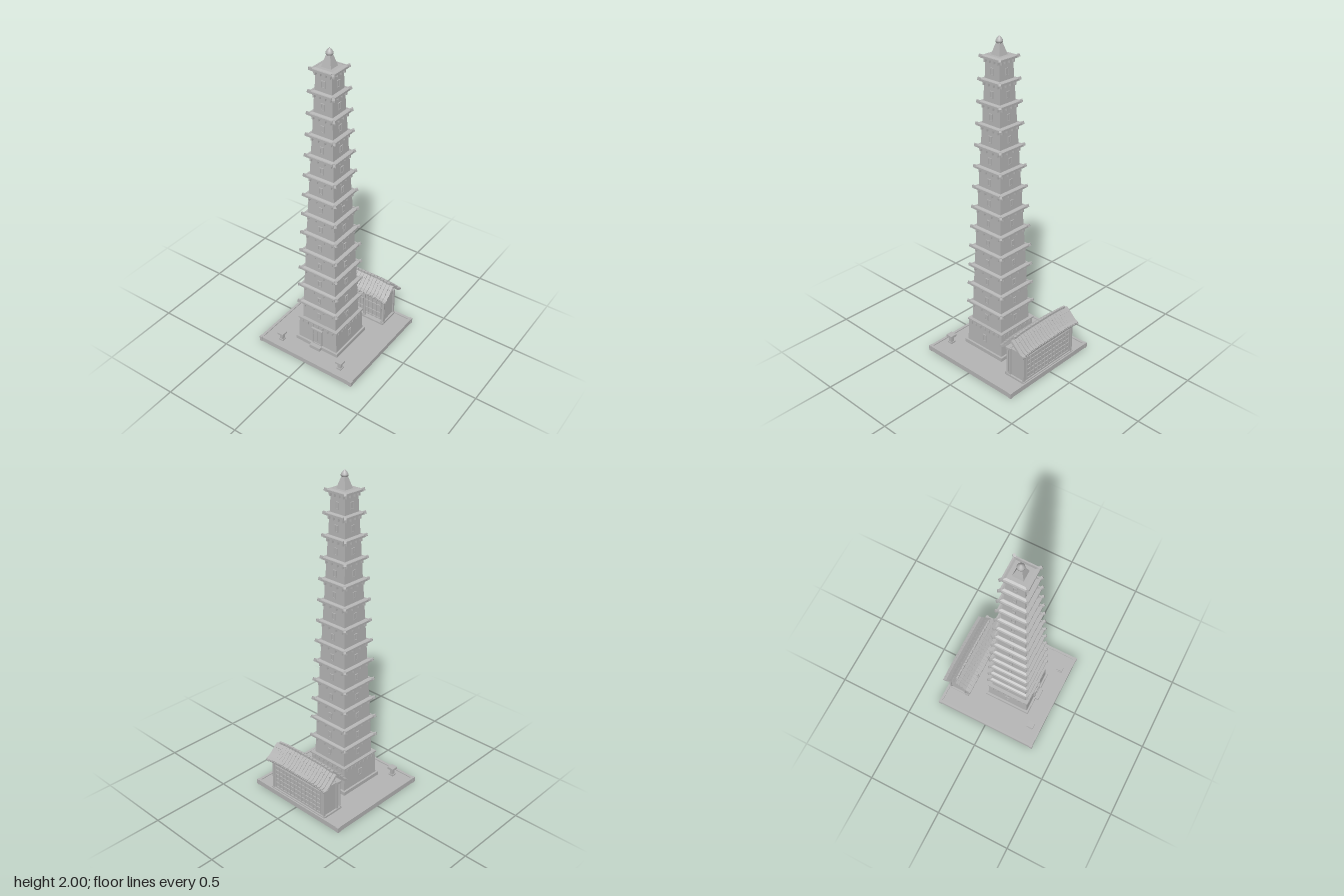
import * as THREE from 'three';

const stone = new THREE.MeshStandardMaterial({ color: 0xb4b4b4 });
stone.name = 'stone grey';

export function createModel() {
  const model = new THREE.Group();
  model.name = 'pagodaCourt';

  const add = (parent, name, geo, x = 0, y = 0, z = 0) => {
    const m = new THREE.Mesh(geo, stone);
    m.name = name;
    m.position.set(x, y, z);
    parent.add(m);
    return m;
  };
  // box given by its bottom height
  const box = (parent, name, w, h, d, x, y, z) =>
    add(parent, name, new THREE.BoxGeometry(w, h, d), x, y + h / 2, z);
  const group = (parent, name, x = 0, y = 0, z = 0) => {
    const g = new THREE.Group();
    g.name = name;
    g.position.set(x, y, z);
    parent.add(g);
    return g;
  };
  // square frustum from half-widths
  const frustum = (parent, name, bottom, top, h, y) => {
    const geo = new THREE.CylinderGeometry(top * Math.SQRT2, bottom * Math.SQRT2, h, 4).toNonIndexed();
    geo.rotateY(Math.PI / 4);
    geo.computeVertexNormals();
    return add(parent, name, geo, 0, y + h / 2, 0);
  };
  // rectangular frame with an opening, standing on y
  const frame = (parent, name, w, h, t, d, y, z) => {
    box(parent, name, t, h, d, -(w - t) / 2, y, z);
    box(parent, name, t, h, d, (w - t) / 2, y, z);
    box(parent, name, w - 2 * t, t, d, 0, y + h - t, z);
    box(parent, name, w - 2 * t, t, d, 0, y, z);
  };
  const fourSides = (parent, name, build) => {
    for (let i = 0; i < 4; i++) {
      const side = group(parent, name);
      side.rotation.y = i * Math.PI / 2;
      build(side, i);
    }
  };

  // courtyard slab with raised rim and corner blocks
  box(model, 'courtSlab', 0.69, 0.026, 0.69, 0, 0, 0);
  fourSides(model, 'courtRim', s => {
    box(s, 'rim', 0.66, 0.032, 0.016, 0, 0, 0.339);
    box(s, 'rimCorner', 0.02, 0.033, 0.02, 0.34, 0, 0.34);
  });

  // tower ground floor
  const tower = group(model, 'tower', 0, 0, 0.065);
  box(tower, 'plinth', 0.312, 0.024, 0.312, 0, 0.026, 0);
  frustum(tower, 'groundFloor', 0.143, 0.138, 0.15, 0.05);
  box(tower, 'groundCornice', 0.288, 0.01, 0.288, 0, 0.197, 0);
  fourSides(tower, 'groundSide', (s, i) => {
    for (let k = -3; k <= 3; k++)
      box(s, 'corbel', 0.012, 0.02, 0.012, k * 0.037, 0.177, 0.14);
    if (i > 0) frame(s, 'wallFrame', 0.03, 0.05, 0.006, 0.006, 0.095, 0.142);
  });
  frame(tower, 'doorFrame', 0.072, 0.118, 0.009, 0.014, 0.048, 0.143);
  box(tower, 'door', 0.054, 0.105, 0.006, 0, 0.05, 0.142);
  box(tower, 'doorSplit', 0.003, 0.1, 0.004, 0, 0.055, 0.146);
  box(tower, 'doorLintel', 0.08, 0.008, 0.018, 0, 0.162, 0.144);
  box(tower, 'doorStep', 0.076, 0.024, 0.024, 0, 0.026, 0.164);

  // thirteen diminishing storeys with eaves
  const eaveHalf = i => 0.142 - 0.066 * Math.pow(i / 12, 1.1);
  for (let i = 0; i < 13; i++) {
    const storey = group(tower, 'storey');
    const e = eaveHalf(i), top = 0.32 + i * 0.1297;
    const bottom = i ? top - 0.125 : 0.205;
    const b = e - 0.02;
    frustum(storey, 'storeyWall', b + 0.001, b - 0.003, top - bottom, bottom);
    frustum(storey, 'eaveSoffit', b - 0.001, e - 0.004, 0.01, top - 0.008);
    box(storey, 'eavePlate', 2 * e - 0.004, 0.012, 2 * e - 0.004, 0, top, 0);
    frustum(storey, 'eaveRoof', e - 0.008, b - 0.003, 0.006, top + 0.011);
    fourSides(storey, 'storeySide', s => {
      for (const u of [-0.84, -0.3, 0.3, 0.84])
        box(s, 'corbel', 0.01, 0.019, 0.016, u * b, top - 0.02, b + 0.004);
      frame(s, 'windowFrame', 0.025, 0.042, 0.005, 0.008, bottom + 0.037, b);
      box(s, 'windowPane', 0.016, 0.034, 0.003, 0, bottom + 0.041, b - 0.0005);
      // upturned corner ornament
      const tip = box(s, 'eaveCorner', 0.014, 0.015, 0.018, e - 0.004, top + 0.004, e - 0.004);
      tip.rotation.set(-0.3, Math.PI / 4, 0, 'YXZ');
    });
  }

  // roof spire and finial
  frustum(tower, 'spireFoot', 0.033, 0.026, 0.025, 1.889);
  frustum(tower, 'spire', 0.026, 0.013, 0.045, 1.914);
  const bulb = [[0, 0], [0.013, 0], [0.021, 0.008], [0.021, 0.016], [0.014, 0.028], [0.004, 0.038], [0, 0.044]]
    .map(p => new THREE.Vector2(...p));
  add(tower, 'finial', new THREE.LatheGeometry(bulb, 16), 0, 1.956, 0);

  // pair of stone lanterns
  for (const x of [-0.222, 0.222]) {
    const lantern = group(model, 'lantern', x, 0.026, 0.28);
    box(lantern, 'lanternBase', 0.032, 0.01, 0.032, 0, 0, 0);
    box(lantern, 'lanternStem', 0.022, 0.034, 0.022, 0, 0.01, 0);
    box(lantern, 'lanternNeck', 0.034, 0.005, 0.034, 0, 0.04, 0);
    box(lantern, 'lanternCap', 0.043, 0.014, 0.043, 0, 0.045, 0);
  }

  // hall walls, posts and lattice
  const hall = group(model, 'hall', 0, 0, -0.26);
  box(hall, 'hallFloor', 0.45, 0.012, 0.15, 0, 0.026, -0.003);
  box(hall, 'hallBody', 0.426, 0.186, 0.112, 0, 0.036, -0.013);
  box(hall, 'frontBeam', 0.45, 0.014, 0.03, 0, 0.212, 0.055);
  box(hall, 'backBeam', 0.44, 0.012, 0.012, 0, 0.212, -0.068);
  for (const x of [-0.217, -0.075, 0.075, 0.217]) {
    add(hall, 'frontColumn', new THREE.CylinderGeometry(0.008, 0.008, 0.184, 12), x, 0.128, 0.06);
    add(hall, 'columnFoot', new THREE.CylinderGeometry(0.011, 0.012, 0.012, 12), x, 0.042, 0.06);
  }
  for (const x of [-0.213, 0.213]) for (const z of [-0.066, 0.04])
    box(hall, 'cornerPost', 0.014, 0.188, 0.014, x, 0.036, z);
  for (let i = 0; i <= 12; i++)
    box(hall, 'backLatticeUpright', 0.005, 0.155, 0.006, -0.19 + i * 0.38 / 12, 0.05, -0.071);
  for (let j = 0; j <= 5; j++)
    box(hall, 'backLatticeRail', 0.385, 0.005, 0.006, 0, 0.05 + j * 0.03, -0.071);
  for (let i = 0; i <= 12; i++)
    box(hall, 'frontDoorUpright', 0.006, 0.165, 0.008, -0.19 + i * 0.38 / 12, 0.04, 0.045);
  for (const y of [0.045, 0.09, 0.15, 0.2])
    box(hall, 'frontDoorRail', 0.385, 0.006, 0.008, 0, y, 0.045);

  // tiled roof: columns follow a flared profile and drop toward the gable ends
  const roof = group(hall, 'hallRoof');
  const profile = [[0, 0.32], [0.024, 0.299], [0.048, 0.275], [0.071, 0.255], [0.093, 0.247]];
  const cols = 21, w = 0.5 / cols;
  for (let c = 0; c < cols; c++) {
    const x = -0.25 + (c + 0.5) * w;
    const drop = 0.016 * Math.pow(Math.abs(x) / 0.25, 4);
    for (const s of [-1, 1]) {
      for (let r = 0; r < 4; r++) {
        const [z0, y0] = profile[r], [z1, y1] = profile[r + 1];
        const len = Math.hypot(z1 - z0, y1 - y0), angle = s * Math.atan2(y0 - y1, z1 - z0);
        const y = (y0 + y1) / 2 - drop, z = s * (z0 + z1) / 2;
        const tile = add(roof, 'roofTile', new THREE.BoxGeometry(w - 0.002, 0.008, len - 0.001), x, y + 0.003, z);
        tile.rotation.x = angle;
        const under = add(roof, 'roofBoard', new THREE.BoxGeometry(w, 0.008, len + 0.002), x, y - 0.003, z);
        under.rotation.x = angle;
      }
    }
    if (c > 0 && c < cols - 1) box(roof, 'ridgeTile', w - 0.004, 0.02, 0.012, x, 0.317 - drop, 0);
  }
  return model;
}
